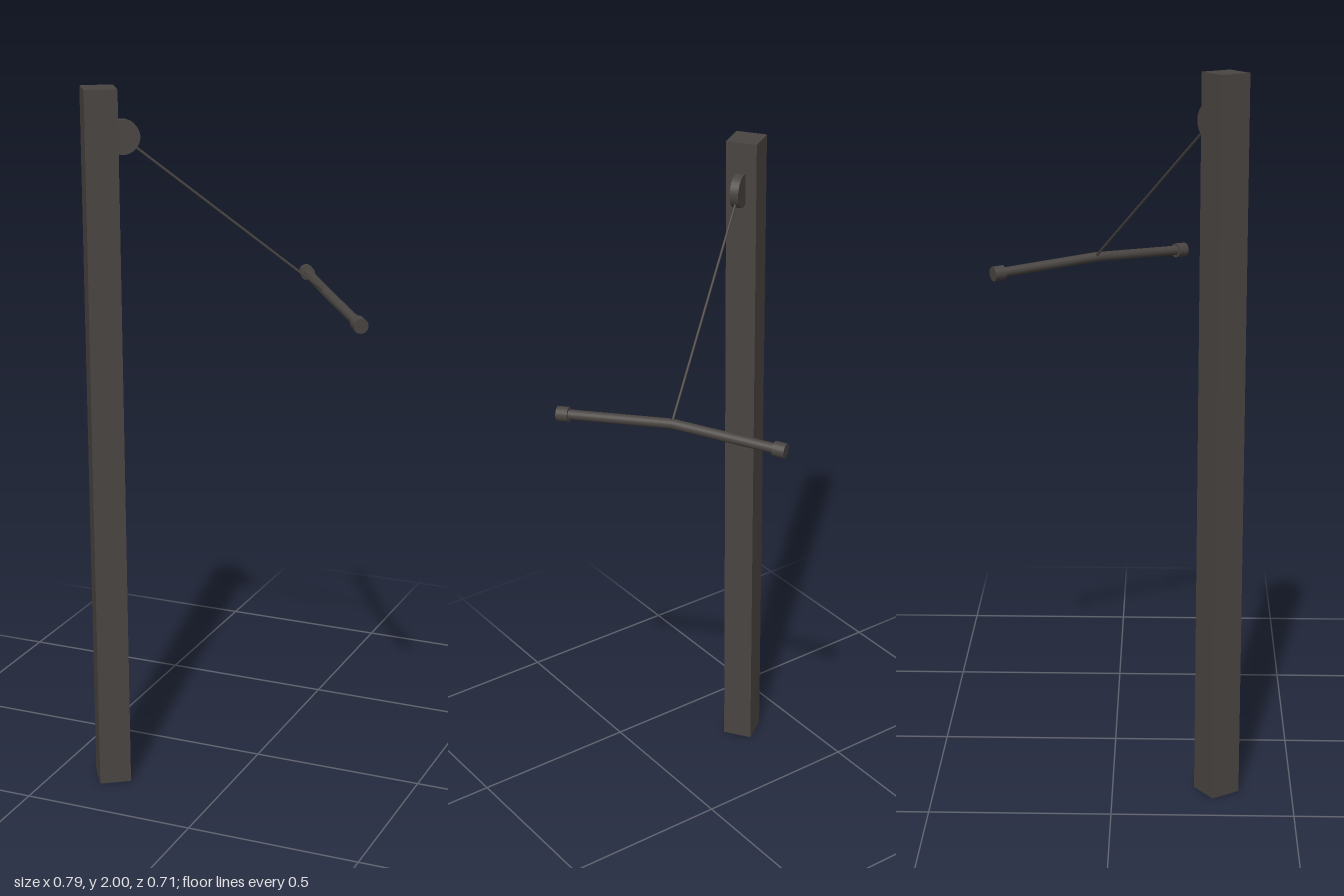
import * as THREE from 'three';

const V = (x, y, z) => new THREE.Vector3(x, y, z);

export function createModel() {
  const model = new THREE.Group();
  model.name = 'cableHandleStand';
  const darkGrey = new THREE.MeshStandardMaterial({ color: 0x484441 });
  darkGrey.name = 'dark grey';

  // Everything is laid out along local x, then turned about the post
  const rig = new THREE.Group();
  rig.name = 'rig';
  rig.position.set(-0.334, 0, 0.291);
  rig.rotation.y = 0.599;
  model.add(rig);

  const add = (name, geometry) => {
    const mesh = new THREE.Mesh(geometry, darkGrey);
    mesh.name = name;
    rig.add(mesh);
    return mesh;
  };

  // Round rod between two points
  const rod = (name, a, b, radius, sides) => {
    const mesh = add(name, new THREE.CylinderGeometry(radius, radius, a.distanceTo(b), sides));
    mesh.position.copy(a).lerp(b, 0.5);
    mesh.quaternion.setFromUnitVectors(V(0, 1, 0), b.clone().sub(a).normalize());
    return mesh;
  };

  // Square post
  add('post', new THREE.BoxGeometry(0.0893, 2, 0.0893)).position.y = 1;

  // Pulley disc on the post's face
  const hub = V(0.061, 1.867, 0);
  rod('pulley', V(hub.x, hub.y, -0.0125), V(hub.x, hub.y, 0.0125), 0.047, 32);

  // Cable down to the middle of the handle
  const middle = V(0.623, 1.414, -0.004);
  rod('cable', hub, middle, 0.0035, 10);

  // Bent handle: two bars with end caps
  for (const [side, s] of [['left', 1], ['right', -1]]) {
    const end = V(0.641, 1.398, s * 0.325 - 0.006);
    const capStart = end.clone().lerp(middle, 0.033 / end.distanceTo(middle));
    rod(side + 'HandleBar', middle, end, 0.014, 20);
    rod(side + 'EndCap', capStart, end, 0.0208, 20);
  }
  return model;
}
